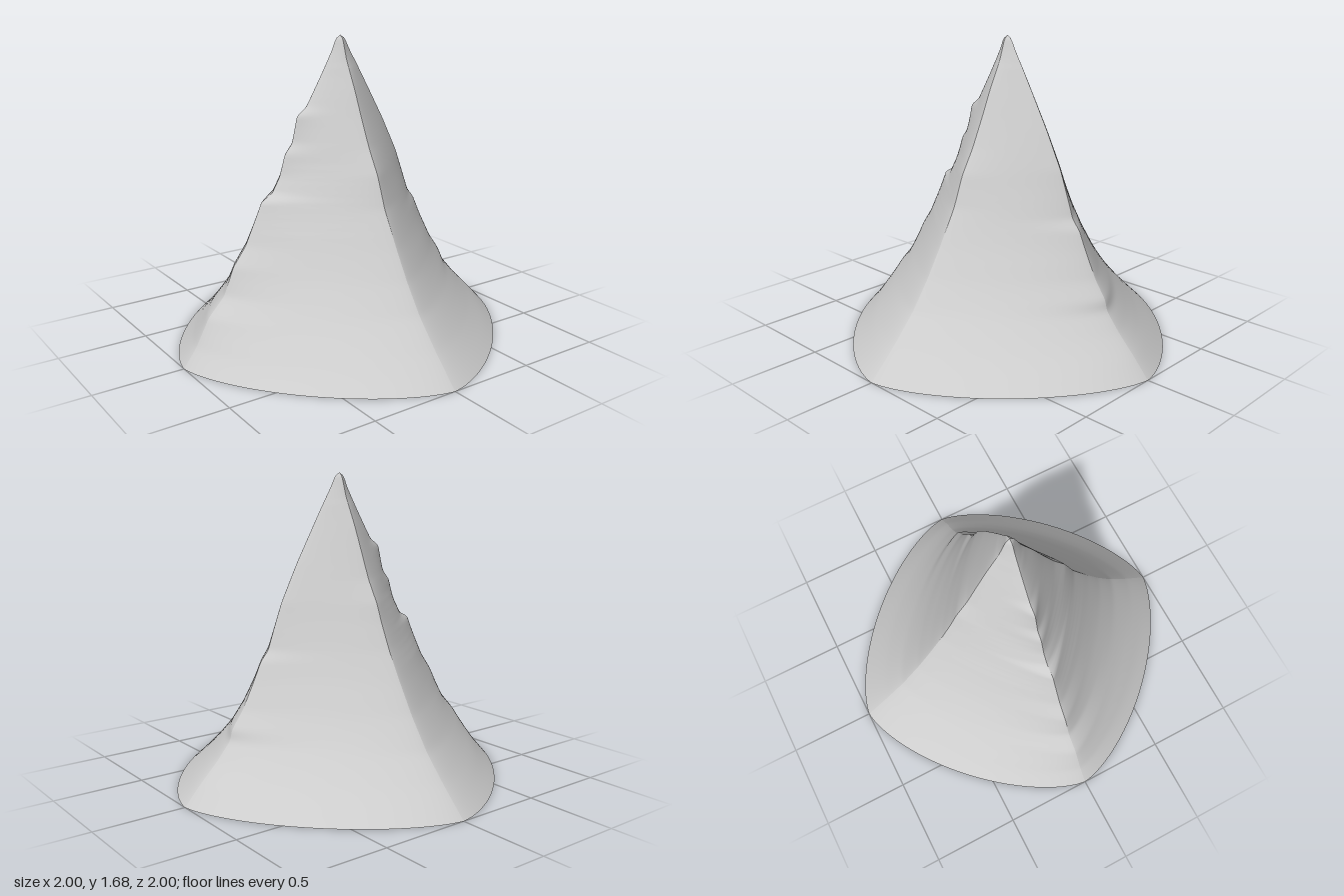
import * as THREE from 'three';

const HEIGHT = 1.68;
const ROWS = 112;
const COLS = 28;

// Ridge profiles as [height, distance from the axis]
const tip = [[1.4, 0.135], [1.55, 0.06], [1.65, 0.027], [1.675, 0.015], [HEIGHT, 0]];
const frontRidge = [[0, 1], [0.15, 0.85], [0.3, 0.715], [0.45, 0.61], [0.6, 0.52], [0.7, 0.465],
  [0.8, 0.41], [0.97, 0.345], [1.1, 0.27], [1.25, 0.2], ...tip];
const backRidge = [[0, 1], [0.15, 0.85], [0.28, 0.73], [0.45, 0.61], [0.6, 0.52], [0.76, 0.43],
  [0.9, 0.365], [1.0, 0.325], [1.12, 0.255], [1.25, 0.2], ...tip];
const leftRidge = [[0, 1], [0.1, 0.91], [0.2, 0.81], [0.3, 0.725], [0.36, 0.71], [0.45, 0.645],
  [0.6, 0.57], [0.7, 0.525], [0.75, 0.48], [0.85, 0.445], [1, 0.39], [1.1, 0.34], [1.2, 0.29],
  [1.36, 0.2], [1.5, 0.12], [1.6, 0.06], [1.65, 0.035], [1.675, 0.02], [HEIGHT, 0]];
const rightRidge = [[0, 1], [0.1, 0.925], [0.25, 0.845], [0.35, 0.75], [0.5, 0.69], [0.6, 0.615],
  [0.75, 0.545], [0.84, 0.505], [0.855, 0.45], [0.95, 0.395], [1.07, 0.36], [1.12, 0.315],
  [1.27, 0.28], [1.305, 0.225], [1.38, 0.18], [1.5, 0.11], [1.6, 0.055], [1.65, 0.035],
  [1.675, 0.02], [HEIGHT, 0]];

// Ridges in order around the axis, with their x and z directions
const ridges = [
  { profile: frontRidge, x: 0, z: 1 },
  { profile: leftRidge, x: 1, z: 0 },
  { profile: backRidge, x: 0, z: -1 },
  { profile: rightRidge, x: -1, z: 0 },
];

function radiusAt(profile, y) {
  let i = 1;
  while (i < profile.length - 1 && profile[i][0] < y) i++;
  const [y0, r0] = profile[i - 1];
  const [y1, r1] = profile[i];
  return THREE.MathUtils.lerp(r0, r1, (y - y0) / (y1 - y0));
}

// Radius averaged over a window of heights, which softens the ledges
function softRadius(profile, y, window) {
  const w = Math.min(window, y, HEIGHT - y);
  let sum = 0;
  for (let k = -4; k <= 4; k++) sum += radiusAt(profile, y + (k / 4) * w);
  return sum / 9;
}

// Point on the slope between two ridges: rounded diamond that sharpens with height
function slopePoint(quadrant, u, y) {
  const a = ridges[quadrant];
  const b = ridges[(quadrant + 1) % 4];
  const c = Math.max(0, Math.cos(u * Math.PI / 2));
  const s = Math.sin(u * Math.PI / 2);
  const power = 2 / (1.12 + 0.355 * Math.pow(1 - y / HEIGHT, 4));
  const reach = (ridge, w) => THREE.MathUtils.lerp(
    softRadius(ridge.profile, y, 0.16),
    softRadius(ridge.profile, y, 0.015),
    Math.pow(w, 6)) * Math.pow(w, power);
  const ra = reach(a, c);
  const rb = reach(b, s);
  return new THREE.Vector3(a.x * ra + b.x * rb, y, a.z * ra + b.z * rb);
}

function slopeGeometry(quadrant) {
  const geometry = new THREE.PlaneGeometry(1, 1, COLS, ROWS);
  const { position, uv } = geometry.attributes;
  for (let i = 0; i < position.count; i++) {
    const p = slopePoint(quadrant, uv.getX(i), uv.getY(i) * HEIGHT);
    position.setXYZ(i, p.x, p.y, p.z);
  }
  geometry.computeVertexNormals();
  return geometry;
}

export function createModel() {
  const group = new THREE.Group();
  group.name = 'mountain';
  const rock = new THREE.MeshStandardMaterial({ color: 0xcccccc });
  rock.name = 'light grey rock';

  // Four slopes meeting in creases along the ridges
  const names = ['frontLeftSlope', 'backLeftSlope', 'backRightSlope', 'frontRightSlope'];
  const outline = [];
  names.forEach((name, quadrant) => {
    const slope = new THREE.Mesh(slopeGeometry(quadrant), rock);
    slope.name = name;
    group.add(slope);
    for (let i = 0; i < COLS; i++) {
      const p = slopePoint(quadrant, i / COLS, 0);
      outline.push(new THREE.Vector2(p.x, p.z));
    }
  });

  // Flat underside
  const underside = new THREE.Mesh(
    new THREE.ShapeGeometry(new THREE.Shape(outline)).rotateX(Math.PI / 2), rock);
  underside.name = 'underside';
  group.add(underside);
  return group;
}
